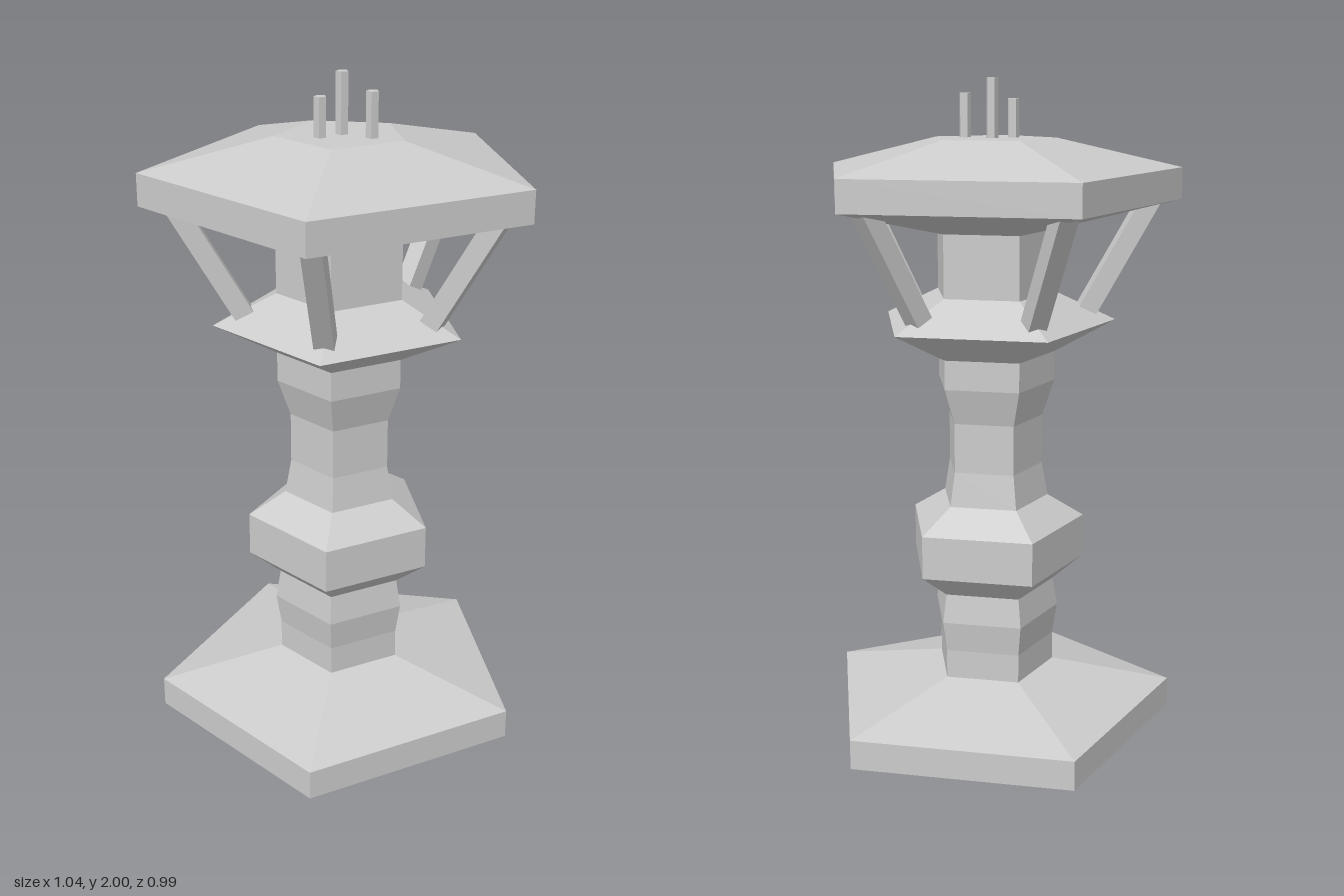
import * as THREE from 'three';

const SIDES = 5;
const mat = new THREE.MeshStandardMaterial({ color: 0xcccccc, flatShading: true });

// Five-sided turned solid with a corner pointing to the back
function turned(name, profile) {
  const pts = profile.map(([r, y]) => new THREE.Vector2(r, y));
  const mesh = new THREE.Mesh(new THREE.LatheGeometry(pts, SIDES, Math.PI), mat);
  mesh.name = name;
  return mesh;
}

export function createModel() {
  const model = new THREE.Group();
  model.name = 'pedestal';

  const body = new THREE.Group();
  body.name = 'body';
  body.position.z = 0.05; // pentagon centre
  model.add(body);

  // Base, column with bulge and collar, and cap as one continuous profile
  body.add(turned('columnWithBaseAndCap', [
    [0, 0], [0.183, 0], [0.547, 0.09], [0.547, 0.178], [0.183, 0.265],   // base
    [0.183, 0.35], [0.197, 0.44], [0.183, 0.525],                        // lower neck
    [0.273, 0.595], [0.273, 0.722], [0.165, 0.79],                       // bulge
    [0.147, 0.89], [0.147, 1.035], [0.183, 1.14], [0.183, 1.225],        // shaft
    [0.36, 1.315], [0.183, 1.4], [0.183, 1.58],                          // collar and upper neck
    [0.547, 1.66], [0.547, 1.75], [0.183, 1.835], [0, 1.835],            // cap
  ]));

  // Slanted struts from the collar to the cap, one under each corner
  const low = { r: 0.25, y: 1.305 }, high = { r: 0.47, y: 1.69 };
  const dr = high.r - low.r, dy = high.y - low.y;
  const strutGeo = new THREE.BoxGeometry(0.055, Math.hypot(dr, dy), 0.055);
  for (let i = 0; i < SIDES; i++) {
    const arm = new THREE.Group();
    arm.name = `strut${i + 1}`;
    arm.rotation.y = Math.PI + (i * 2 * Math.PI) / SIDES;
    const strut = new THREE.Mesh(strutGeo, mat);
    strut.name = 'strutBar';
    strut.position.set(0, (low.y + high.y) / 2, (low.r + high.r) / 2);
    strut.rotation.x = Math.atan2(dr, dy);
    arm.add(strut);
    body.add(arm);
  }

  // Thin rods standing on the cap: x, z, top height
  [[0, 0.05, 2], [-0.07, 0.06, 1.942], [0.05, 0.125, 1.957]].forEach(([x, z, top], i) => {
    const h = top - 1.82;
    const rod = new THREE.Mesh(
      new THREE.CylinderGeometry(0.0175, 0.0175, h, SIDES, 1, false, Math.PI), mat);
    rod.name = `rod${i + 1}`;
    rod.position.set(x, 1.82 + h / 2, z);
    model.add(rod);
  });

  return model;
}
